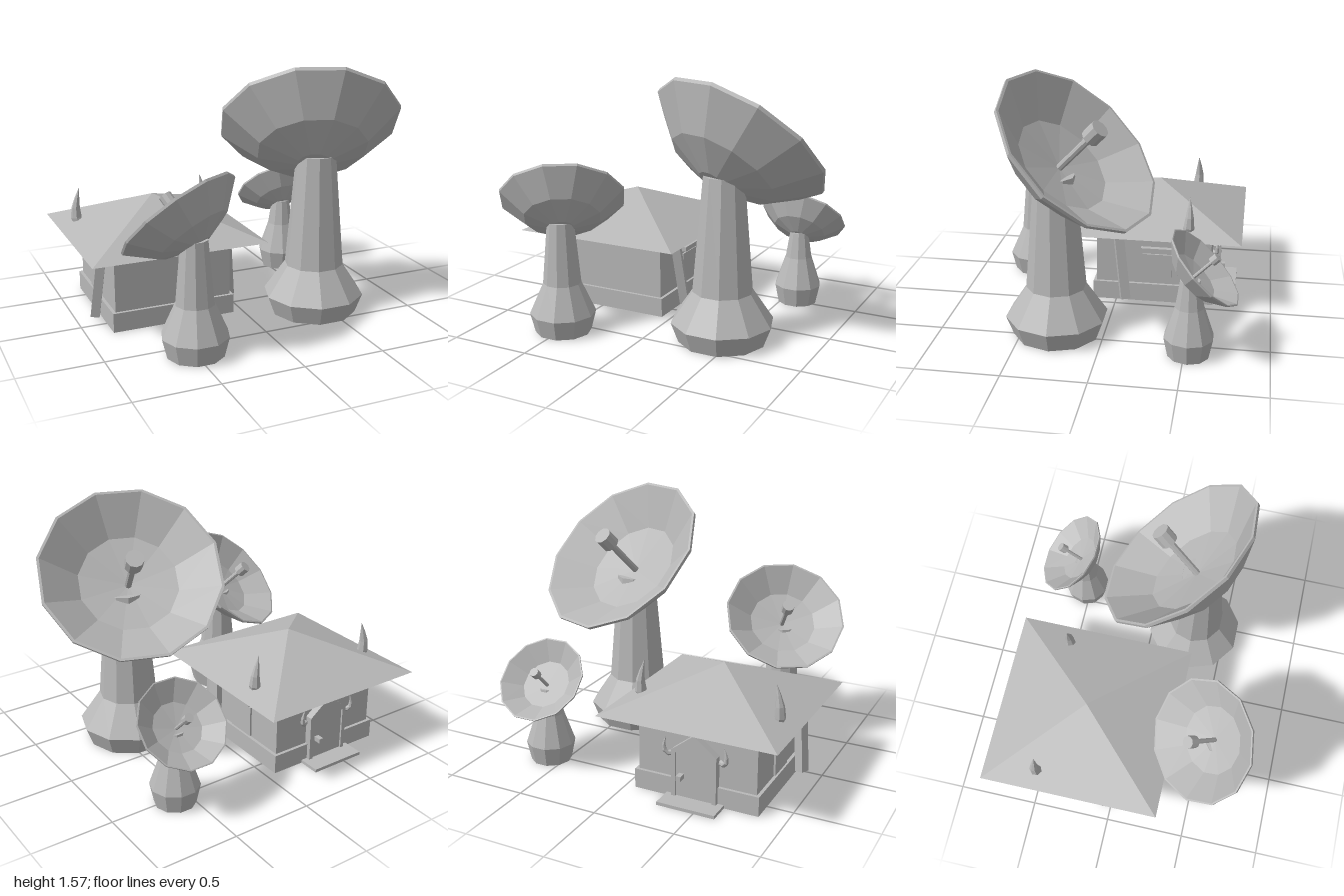
import * as THREE from 'three';

const grey = new THREE.MeshStandardMaterial({ color: 0xb8b8b8, flatShading: true, side: THREE.DoubleSide });
grey.name = 'plainGrey';

function add(parent, name, geometry, x = 0, y = 0, z = 0) {
  const mesh = new THREE.Mesh(geometry, grey);
  mesh.name = name;
  mesh.position.set(x, y, z);
  parent.add(mesh);
  return mesh;
}
const box = (w, h, d) => new THREE.BoxGeometry(w, h, d);
const lathe = (points, sides, start) =>
  new THREE.LatheGeometry(points.map(p => new THREE.Vector2(p[0], p[1])), sides, start);

// Tapered horn: a tube whose rings shrink toward the tip
function horn(points, radius, sides = 7, steps = 5) {
  const curve = new THREE.CatmullRomCurve3(points.map(p => new THREE.Vector3(...p)));
  const geo = new THREE.TubeGeometry(curve, steps, radius, sides);
  const pos = geo.attributes.position, v = new THREE.Vector3();
  for (let i = 0; i < pos.count; i++) {
    const t = Math.floor(i / (sides + 1)) / steps;
    const c = curve.getPointAt(t);
    v.fromBufferAttribute(pos, i).sub(c).multiplyScalar(Math.max(0.02, 1 - t * t)).add(c);
    pos.setXYZ(i, v.x, v.y, v.z);
  }
  return geo;
}

// Flared ten-sided pedestal carrying a tilted dish with a feed
function dishTower(name, { at, radii, top, dishAt, size, yaw }) {
  const tower = new THREE.Group();
  tower.name = name;
  const [foot, belly, neck, tip] = radii;
  add(tower, 'pedestal', lathe(
    [[foot, 0], [belly, 0.12], [neck, 0.31], [tip, top], [0, top]], 10, Math.PI / 2), at[0], 0, at[1]);

  const dish = new THREE.Group();
  dish.name = 'dishAssembly';
  dish.position.set(...dishAt);
  dish.rotation.set(-Math.PI / 4, yaw, 0, 'YXZ');
  dish.scale.setScalar(size);
  // Thick bowl with a flat hub underneath
  add(dish, 'dish', lathe(
    [[0, -0.31], [0.1, -0.31], [0.34, -0.22], [0.56, -0.022], [0.562, 0], [0.546, 0], [0.31, -0.16], [0, -0.198]],
    12, Math.PI / 12));
  add(dish, 'feedStem', new THREE.CylinderGeometry(0.022, 0.022, 0.34, 8), 0, -0.05, 0);
  add(dish, 'feedHead', new THREE.CylinderGeometry(0.056, 0.056, 0.095, 10), 0, 0.142, 0);
  tower.add(dish);
  return tower;
}

function house() {
  const g = new THREE.Group();
  g.name = 'house';
  g.position.set(-0.45, 0, -0.24);

  add(g, 'foundation', box(0.78, 0.12, 0.78), 0, 0.06, 0);
  add(g, 'walls', box(0.74, 0.38, 0.74), 0, 0.3, 0);
  const roof = new THREE.ConeGeometry(Math.SQRT1_2, 0.23, 4);
  roof.rotateY(Math.PI / 4);
  roof.scale(1.1, 1, 1.12);
  add(g, 'roof', roof, 0, 0.605, 0);

  // Side details, mirrored
  for (const s of [-1, 1]) {
    add(g, 'window', box(0.02, 0.2, 0.19), s * 0.372, 0.226, -0.025);
    add(g, 'lintel', box(0.05, 0.03, 0.21), s * 0.378, 0.36, -0.025);
    const post = add(g, 'leaningPost', box(0.055, 0.45, 0.06), s * 0.42, 0.26, 0.2);
    post.rotation.set(0.12, s * 0.35, s * 0.1, 'XZY');
    add(g, 'roofHorn', horn(
      [[s * 0.36, 0.46, -0.2], [s * 0.42, 0.5, -0.22], [s * 0.435, 0.6, -0.23], [s * 0.41, 0.74, -0.227]], 0.042));
    add(g, 'doorHorn', horn(
      [[s * 0.15, 0.27, -0.37], [s * 0.185, 0.275, -0.395], [s * 0.195, 0.32, -0.4], [s * 0.18, 0.38, -0.4]], 0.017));
  }

  // Pointed door on the back wall
  const arch = (w, shoulder, peak) => new THREE.Shape([
    new THREE.Vector2(-w, 0), new THREE.Vector2(w, 0), new THREE.Vector2(w, shoulder),
    new THREE.Vector2(0, peak), new THREE.Vector2(-w, shoulder)]);
  const frame = arch(0.14, 0.31, 0.42);
  frame.holes.push(arch(0.115, 0.295, 0.385));
  add(g, 'doorFrame', new THREE.ExtrudeGeometry(frame, { depth: 0.06, bevelEnabled: false }), 0, 0, -0.415);
  add(g, 'door', new THREE.ExtrudeGeometry(arch(0.117, 0.296, 0.388), { depth: 0.05, bevelEnabled: false }), 0, 0, -0.403);
  add(g, 'doorKnob', box(0.03, 0.03, 0.05), 0.08, 0.152, -0.425);
  add(g, 'doorStep', box(0.36, 0.02, 0.15), 0, 0.01, -0.45);
  return g;
}

export function createModel() {
  const model = new THREE.Group();
  model.name = 'dishStation';
  model.add(
    house(),
    dishTower('largeTower', {
      at: [0.425, 0.29], radii: [0.265, 0.31, 0.182, 0.122], top: 1.005,
      dishAt: [0.46, 1.187, 0.13], size: 1, yaw: -0.35 }),
    dishTower('mediumTower', {
      at: [-0.495, 0.605], radii: [0.17, 0.2, 0.115, 0.08], top: 0.69,
      dishAt: [-0.548, 0.81, 0.496], size: 0.68, yaw: 0.56 }),
    dishTower('smallTower', {
      at: [0.595, -0.525], radii: [0.125, 0.15, 0.086, 0.06], top: 0.475,
      dishAt: [0.592, 0.562, -0.612], size: 0.49, yaw: 0 }));
  return model;
}
